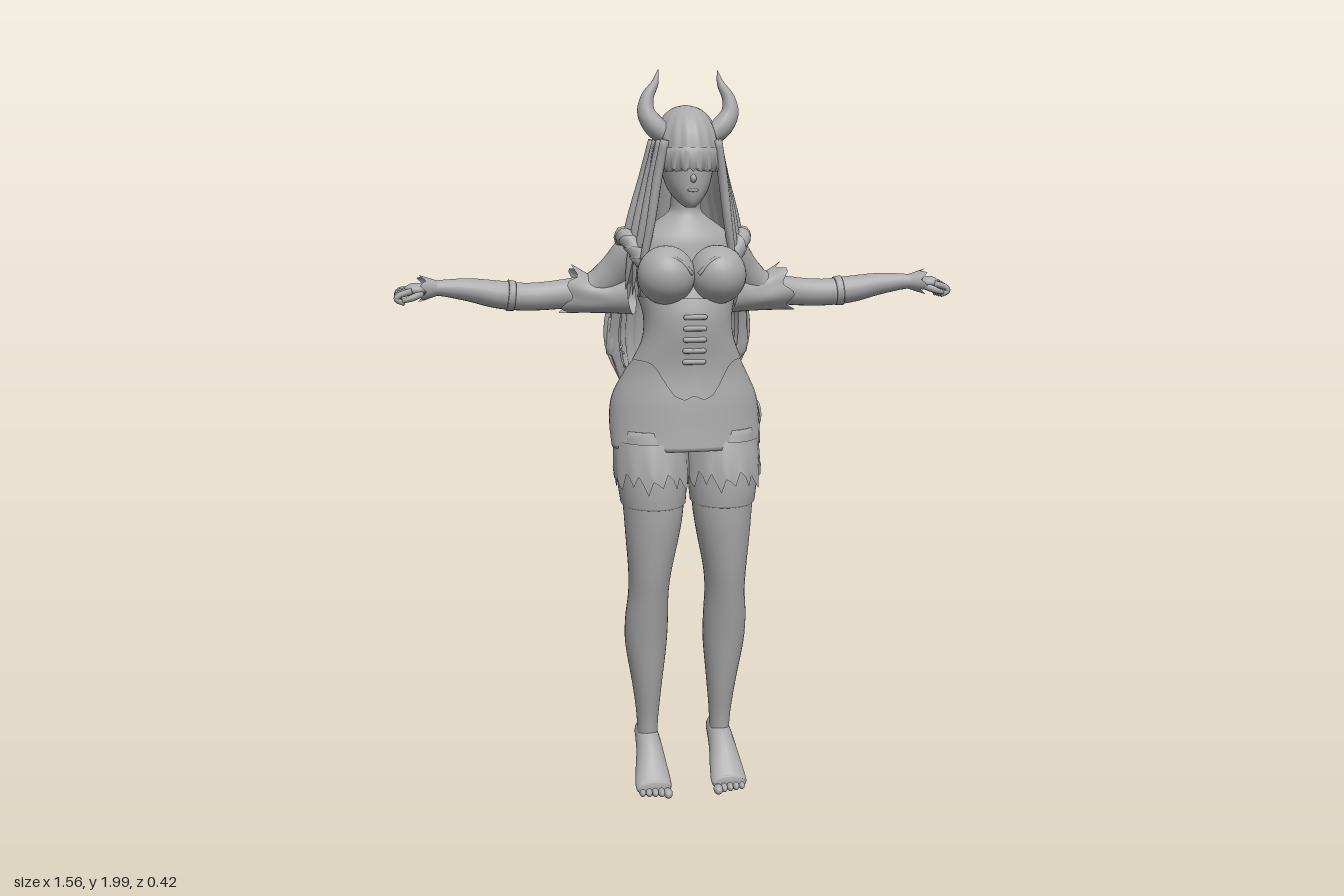
import * as THREE from 'three';

const grey = new THREE.MeshStandardMaterial({ color: 0xaaaaaa, side: THREE.DoubleSide });
grey.name = 'plain grey';
const V = (x, y, z) => new THREE.Vector3(x, y, z);
const TAU = Math.PI * 2;

// Catmull-Rom value of a table of rows at position t (in rows)
function rowAt(rows, t) {
  const last = rows.length - 1;
  const i = Math.min(Math.floor(t), last - 1), f = t - i;
  const g = k => rows[Math.max(0, Math.min(last, k))];
  const [a, b, c, d] = [g(i - 1), g(i), g(i + 1), g(i + 2)];
  return b.map((q, k) => q + 0.5 * f * (c[k] - a[k] + f * (2 * a[k] - 5 * q + 4 * c[k] - d[k]
    + f * (3 * (q - c[k]) + d[k] - a[k]))));
}
const smooth = (rows, k = 4) => Array.from({ length: (rows.length - 1) * k + 1 }, (_, i) => rowAt(rows, i / k));

// Row of a table whose first column (height) equals y
function rowAtHeight(rows, y) {
  let i = 0;
  while (i < rows.length - 2 && rows[i + 1][0] < y) i++;
  return rowAt(rows, i + THREE.MathUtils.clamp((y - rows[i][0]) / (rows[i + 1][0] - rows[i][0]), 0, 1));
}

// Skin joining closed rings of points, turned to face outwards
function loft(rings, caps = true) {
  const n = rings[0].length, m = rings.length, pts = rings.flat(), idx = [];
  for (let r = 0; r < m - 1; r++) for (let i = 0; i < n; i++) {
    const a = r * n + i, b = r * n + (i + 1) % n;
    idx.push(a, a + n, b, b, a + n, b + n);
  }
  if (caps) for (const r of [0, m - 1]) {
    const c = pts.length;
    pts.push(rings[r].reduce((s, p) => s.add(p), V(0, 0, 0)).divideScalar(n));
    for (let i = 0; i < n; i++) {
      const a = r * n + i, b = r * n + (i + 1) % n;
      r ? idx.push(a, c, b) : idx.push(a, b, c);
    }
  }
  const mid = pts.reduce((s, p) => s.add(p), V(0, 0, 0)).divideScalar(pts.length);
  let vol = 0;
  for (let i = 0; i < idx.length; i += 3) {
    const [a, b, c] = [0, 1, 2].map(k => pts[idx[i + k]].clone().sub(mid));
    vol += a.dot(b.cross(c));
  }
  if (vol < 0) idx.reverse();
  const geo = new THREE.BufferGeometry().setFromPoints(pts);
  geo.setIndex(idx);
  geo.computeVertexNormals();
  return geo;
}

// Level oval: half width rx, front and back depth
const oval = (y, cx, rx, zf, zb, n = 40, wave = () => 0) => Array.from({ length: n }, (_, i) => {
  const a = i / n * TAU, w = wave(a, i);
  return V(cx + (rx + w) * Math.cos(a), y, (zf + zb) / 2 + ((zf - zb) / 2 + w) * Math.sin(a));
});

// Tube through rows [x, y, z, half width, half thickness]; 'fray' bends the ring points
function tube(rows, { up = V(0, 1, 0), n = 16, k = 4, caps = true, fray } = {}) {
  const list = smooth(rows, k), at = i => V(...list[Math.max(0, Math.min(list.length - 1, i))].slice(0, 3));
  return loft(list.map((r, j) => {
    const t = at(j + 1).sub(at(j - 1)).normalize();
    const u = up.clone().cross(t).normalize(), v = t.clone().cross(u);
    return Array.from({ length: n }, (_, i) => {
      const a = i / n * TAU, q = fray ? fray(i, j / (list.length - 1)) : 0;
      return at(j).addScaledVector(u, (r[3] + q * 0.4) * Math.cos(a))
        .addScaledVector(v, (r[4] + q * 0.4) * Math.sin(a)).addScaledVector(t, q);
    });
  }), caps);
}

// Height, half width, front and back of the body
const body = [[1.0, .203, .17, -.07], [1.06, .206, .165, -.12], [1.13, .198, .16, -.133], [1.2, .165, .152, -.095],
  [1.25, .135, .155, -.03], [1.3, .115, .165, -.02], [1.36, .112, .17, -.04], [1.42, .128, .155, -.07],
  [1.5, .142, .13, -.085], [1.56, .135, .12, -.08], [1.6, .09, .1, -.065], [1.63, .048, .085, -.03],
  [1.66, .04, .085, -.01], [1.72, .04, .09, 0]];
const leg = [[.12, .106, .028, .04, -.04], [.2, .106, .031, .05, -.03], [.3, .108, .042, .072, -.038], [.42, .112, .058, .095, -.043],
  [.5, .112, .06, .112, -.033], [.58, .109, .056, .13, -.02], [.65, .106, .06, .145, -.012], [.75, .1, .074, .16, -.015],
  [.83, .097, .083, .168, -.025], [.95, .1, .093, .17, -.05], [1.05, .1, .092, .15, -.07]];
// Back hair: height, half width, depth at its edges, depth at the back
const hairRows = [[1.86, .07, .06, -.055], [1.8, .094, .08, -.085], [1.7, .108, .06, -.107], [1.6, .142, .03, -.135], [1.5, .168, -.005, -.165],
  [1.4, .183, -.04, -.19], [1.3, .195, -.07, -.206], [1.22, .185, -.085, -.205], [1.15, .15, -.1, -.175]];

export function createModel() {
  const root = new THREE.Group();
  root.name = 'hornedFigure';
  const add = (name, geo, x = 0, y = 0, z = 0) => {
    const mesh = new THREE.Mesh(geo, grey);
    mesh.name = name;
    mesh.position.set(x, y, z);
    root.add(mesh);
    return mesh;
  };
  const ball = (name, x, y, z, rx, ry, rz) => add(name, new THREE.SphereGeometry(1, 28, 20), x, y, z).scale.set(rx, ry, rz);

  // Torso and skirt
  add('torso', loft(smooth(body.slice(4)).map(r => oval(r[0], 0, ...r.slice(1)))));
  add('skirt', loft(smooth(body.slice(0, 5)).map(([y, rx, zf, zb]) => oval(y, 0, rx + .004, zf + .004, zb - .004))));

  // Corset with a pointed front hem
  add('corset', loft(Array.from({ length: 11 }, (_, j) => Array.from({ length: 48 }, (_, i) => {
    const a = i / 48 * TAU, front = Math.max(0, Math.sin(a));
    const low = 1.24 - .12 * front ** 8 + .03 * front ** 120;
    const y = THREE.MathUtils.lerp(low, 1.41, j / 10), [, rx, zf, zb] = rowAtHeight(body, y);
    return V((rx + .009) * Math.cos(a), y, (zf + zb) / 2 + ((zf - zb) / 2 + .009) * Math.sin(a));
  })), false));
  for (let i = 0; i < 5; i++)
    add('corsetLace', new THREE.CapsuleGeometry(.007, .05, 4, 8).rotateZ(Math.PI / 2), 0, 1.235 + i * .03, rowAtHeight(body, 1.235 + i * .03)[2] + .01);

  // Round patch on the left hip
  const patch = add('hipPatch', new THREE.CylinderGeometry(.036, .036, .006, 14), .21, 1.065, -.005);
  patch.rotation.set(0, .12, Math.PI / 2);

  // Head, face and nose
  add('face', loft(smooth([[1.645, .012, .125, .09], [1.66, .03, .137, .05], [1.69, .052, .145, .0], [1.73, .066, .148, -.03],
    [1.78, .074, .148, -.05], [1.84, .07, .13, -.05]]).map(r => oval(r[0], 0, ...r.slice(1)))));
  ball('nose', 0, 1.712, .148, .008, .011, .011);
  ball('mouth', 0, 1.682, .144, .015, .004, .004);

  // Hair cap with a blunt fringe
  add('hairCap', loft(smooth([[1.912, .003, .04, .03], [1.903, .035, .085, -.015], [1.88, .062, .122, -.045], [1.84, .082, .15, -.068],
    [1.79, .09, .163, -.082], [1.745, .092, .163, -.092]]).map(r => oval(r[0], 0, r[1], r[2], r[3], 72,
    (a, i) => (i % 4 < 2 ? .002 : -.001) * Math.min(1, (1.912 - r[0]) * 12))), false));
  add('fringe', loft([1.8, 1.747].map(y => Array.from({ length: 60 }, (_, i) => {
    const a = (i < 30 ? i : 59 - i) / 29 * 2.4 + .37, r = i < 30 ? 1 : .88;
    return V(.093 * r * Math.cos(a), y - (y < 1.76 && i % 3 === 0 ? .009 : 0), .038 + .127 * r * Math.sin(a));
  }))));

  // Long back hair: a rippled crescent ending in separate locks
  add('backHair', loft(smooth(hairRows).map(([y, w, ze, zb]) => Array.from({ length: 120 }, (_, i) => {
    const outer = i < 60, p = (outer ? i : 119 - i) / 59 * Math.PI, fall = THREE.MathUtils.clamp((1.75 - y) / .5, 0, 1);
    const ripple = .005 * fall * Math.sin(p * 26), s = outer ? 1 : .88;
    const drop = Math.max(0, (1.24 - y) / .09) * .028 * Math.sin(p * 26 + 1);
    return V((w + ripple) * s * Math.cos(p), y + drop, ze + (zb - ze - ripple) * (outer ? 1 : .72) * Math.sin(p));
  }))));
  for (let i = 0; i < 15; i++) {
    const a = (i + .5) / 15 * Math.PI, c = Math.cos(a), s = Math.sin(a), end = 1.13 + .09 * Math.abs(c) + .02 * (i % 3);
    add('hairTip', tube([[.185 * c, 1.34, -.07 - .118 * s, .016, .014], [.188 * c, 1.24, -.08 - .117 * s, .015, .013],
      [.155 * c, end, -.09 - .085 * s, .002, .002]], { up: V(0, 0, 1), n: 8 }));
  }

  for (const s of [1, -1]) {
    const side = s > 0 ? 'left' : 'right';
    const put = (part, rows, opts) => add(side + part, tube(rows.map(([x, ...r]) => [x * s, ...r]), opts));

    // Horn
    put('Horn', [[.06, 1.83, .08, .026, .026], [.09, 1.855, .078, .029, .029], [.112, 1.89, .075, .024, .024],
      [.108, 1.93, .072, .017, .017], [.088, 1.965, .07, .01, .01], [.079, 2.0, .07, .001, .001]], { up: V(0, 0, 1) });

    // Locks hanging beside the face and over the shoulder
    for (let i = 0; i < 4; i++)
      put('SideLock', [[.07 + i * .006, 1.82, .12 - i * .03, .012, .016], [.088 + i * .008, 1.72, .105 - i * .03, .013, .016],
        [.105 + i * .014, 1.6, .095 - i * .03, .012, .014], [.122 + i * .014, 1.5, .075 - i * .028, .009, .011],
        [.13 + i * .014, 1.4 + i * .01, .05 - i * .028, .001, .001]], { up: V(0, 0, 1), n: 10 });
    for (let i = 0; i < 2; i++)
      put('LongLock', [[.15 + i * .02, 1.5, -.07, .008, .008], [.195 - i * .012, 1.36, -.08, .008, .008], [.2 - i * .014, 1.26, -.09, .006, .006],
        [.165 - i * .01, 1.165, -.1, .001, .001]], { up: V(0, 0, 1), n: 8 });

    // Bust with a cup edge
    ball(side + 'Bust', s * .069, 1.462, .128, .077, .078, .083);
    put('CupEdge', [[.008, 1.475, .185, .005, .005], [.05, 1.515, .188, .005, .005], [.1, 1.515, .173, .005, .005], [.143, 1.48, .13, .005, .005]], { n: 8 });

    // Arm
    put('Arm', [[.08, 1.54, -.015, .05, .05], [.13, 1.525, -.03, .053, .052], [.18, 1.465, -.06, .048, .05], [.24, 1.42, -.08, .043, .044],
      [.33, 1.405, -.087, .039, .04], [.42, 1.4, -.085, .037, .038], [.5, 1.408, -.078, .04, .038], [.58, 1.423, -.066, .033, .031],
      [.66, 1.43, -.052, .021, .021], [.7, 1.425, -.046, .024, .018]], { n: 20 });
    put('GloveEdge', [[.455, 1.403, -.082, .041, .041], [.475, 1.405, -.081, .044, .043]], { n: 20 });

    // Flared sleeve with a frayed end, shoulder frill and wrist frill
    put('Sleeve', [[.135, 1.405, -.045, .05, .055], [.19, 1.4, -.065, .05, .047], [.25, 1.405, -.078, .047, .052], [.305, 1.418, -.082, .053, .067]],
      { n: 36, caps: false, fray: (i, t) => .012 * t * t * Math.sin(i * TAU / 6) });
    put('ShoulderFrill', [[.125, 1.5, .07, .014, .02], [.155, 1.555, .04, .02, .022], [.165, 1.565, -.01, .02, .024], [.155, 1.53, -.07, .014, .02]],
      { n: 12, k: 7, fray: (i, t) => .008 * Math.sin(t * 40 + i) });
    put('WristFrill', [[.665, 1.43, -.052, .021, .021], [.705, 1.43, -.046, .034, .034]],
      { n: 24, caps: false, fray: (i, t) => .009 * t * Math.sin(i * TAU / 4) });

    // Hand: palm, curled fingers and thumb
    ball(side + 'Palm', s * .72, 1.42, -.045, .031, .018, .033);
    for (let i = 0; i < 4; i++) {
      const z = -.073 + i * .019;
      put('Finger', [[.73, 1.425, z, .009, .009], [.763, 1.424 - i * .003, z, .0085, .0085], [.77, 1.403, z, .008, .008], [.75, 1.392, z, .006, .006]],
        { up: V(0, 0, 1), n: 8 });
    }
    put('Thumb', [[.705, 1.418, -.025, .01, .01], [.73, 1.408, -.008, .009, .009], [.755, 1.4, -.012, .006, .006]], { n: 8 });

    // Leg, stocking band and frayed frill under the skirt
    add(side + 'Leg', loft(smooth(leg).map(([y, cx, ...r]) => oval(y, cx * s, ...r, 32))));
    const around = (y, grow, wave) => {
      const [, cx, rx, zf, zb] = rowAtHeight(leg, y);
      return oval(y, cx * s, rx + grow, zf + grow, zb - grow, 48, wave);
    };
    add(side + 'StockingBand', loft([[.84, .001], [.845, .005], [.9, .006], [.96, .004]].map(r => around(...r)), false));
    const frill = [1.02, .98, .94, .915].map((y, j) => around(y, .007 + j * .002, (a, i) => .003 * j / 3 * Math.sin(i * TAU / 4)));
    frill[3].forEach((p, i) => { p.y += .022 * Math.sin(i * 2.1) + .012 * Math.sin(i * .8); });
    add(side + 'LegFrill', loft(frill, false));

    // Foot on tiptoe
    put('Foot', [[.106, .138, -.066, .014, .016], [.106, .138, -.045, .029, .033], [.106, .13, 0, .034, .043], [.106, .108, .045, .038, .042],
      [.107, .07, .09, .046, .033], [.108, .038, .13, .051, .025], [.108, .034, .15, .046, .018]], { n: 20 });
    for (let i = 0; i < 5; i++)
      ball(side + 'Toe', s * (.072 + i * .0175), .026 - (i ? 0 : .002), .158 - i * .004, i ? .0095 : .013, i ? .012 : .014, .02);
  }

  // Stand on the ground
  const box = new THREE.Box3().setFromObject(root);
  root.children.forEach(c => { c.position.y -= box.min.y * (1 - c.position.y / 2); });
  return root;
}
